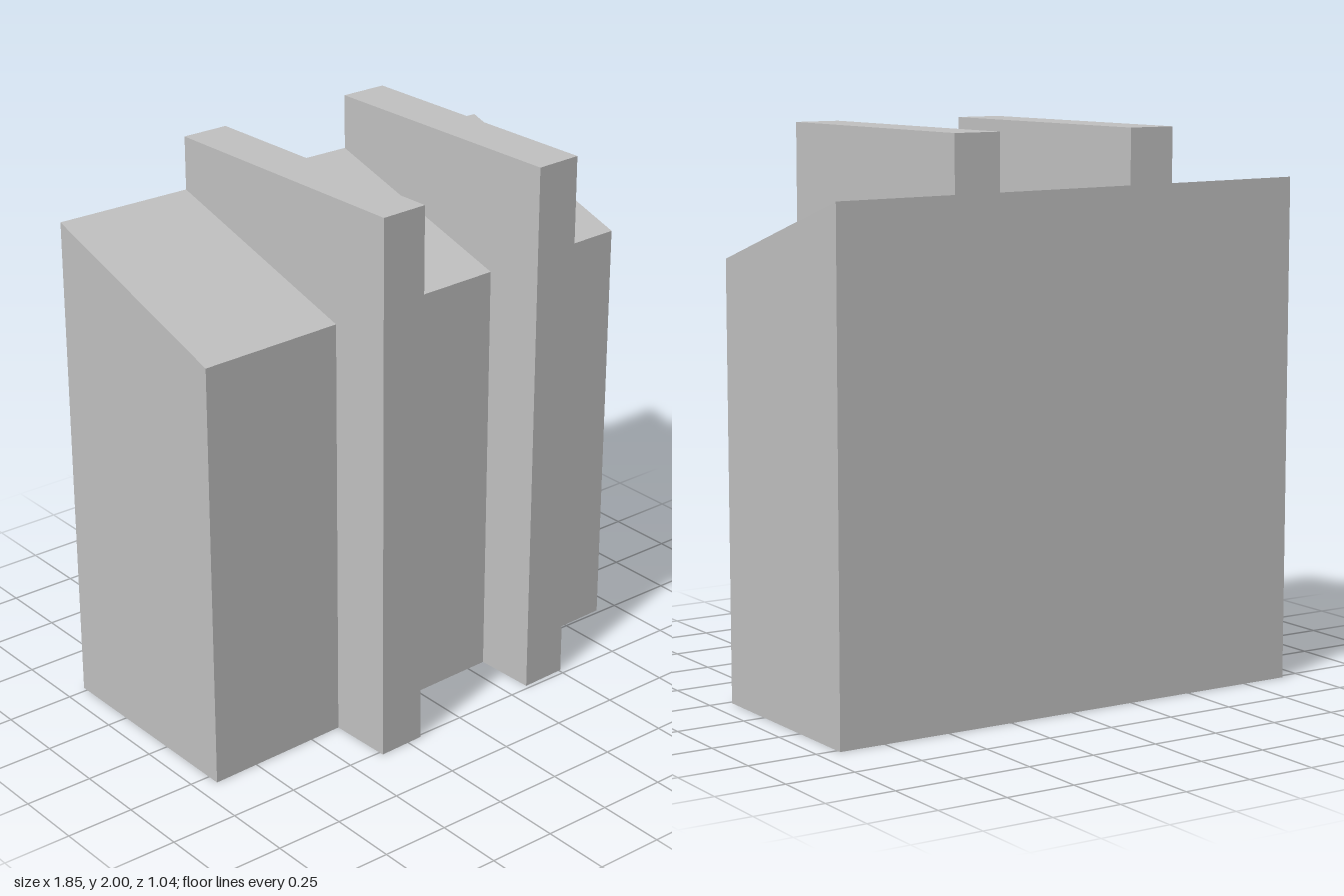
import * as THREE from 'three';

const BACK = -0.52;
const EAVE = 1.555;
const TOP = 2;

const frontZ = (x) => 0.266 - 0.0335 * x;   // slightly skewed front wall
const ridgeY = (x) => 1.803 - 0.008 * x;    // top edge of the roof at the back

// Upright prism on four [x, z, topY] corners: front left, front right, back right, back left.
// walls lists which sides are closed: 0 front, 1 right-hand, 2 back, 3 left-hand.
function prism(corners, walls) {
  const lo = corners.map(([x, z]) => [x, 0, z]);
  const hi = corners.map(([x, z, y]) => [x, y, z]);
  const pos = [];
  const quad = (a, b, c, d) => pos.push(...a, ...b, ...c, ...a, ...c, ...d);
  quad(...hi);
  quad(lo[3], lo[2], lo[1], lo[0]);
  for (const i of walls) {
    const j = (i + 1) % 4;
    quad(lo[i], lo[j], hi[j], hi[i]);
  }
  const geo = new THREE.BufferGeometry();
  geo.setAttribute('position', new THREE.Float32BufferAttribute(pos, 3));
  geo.computeVertexNormals();
  return geo;
}

export function createModel() {
  const model = new THREE.Group();
  model.name = 'finnedBlock';
  const grey = new THREE.MeshStandardMaterial({ color: 0xc0c0c0 });
  grey.name = 'plain grey';

  const add = (name, geo) => {
    const mesh = new THREE.Mesh(geo, grey);
    mesh.name = name;
    model.add(mesh);
  };

  // Fins: x of both sides at the back, then [x, z] of both front corners
  const fins = [
    { back: [-0.405, -0.23], front: [[-0.369, 0.517], [-0.193, 0.511]] },
    { back: [0.3, 0.475], front: [[0.333, 0.485], [0.507, 0.479]] },
  ];
  for (const { back, front } of fins) {
    add('fin', prism([
      [...front[0], TOP], [...front[1], TOP], [back[1], BACK, TOP], [back[0], BACK, TOP],
    ], [0, 1, 2, 3]));
  }

  // Where a fin side meets the front wall
  const wallX = (fin, side) => {
    const [x1, z1] = fin.front[side];
    const x0 = fin.back[side];
    return x0 + (x1 - x0) * (frontZ(x1) - BACK) / (z1 - BACK);
  };

  // Sloped bays between the fins, open where they meet a fin
  const edges = [
    { back: -0.924, front: -0.924 },
    ...fins.flatMap((f) => [0, 1].map((s) => ({ back: f.back[s], front: wallX(f, s) }))),
    { back: 0.921, front: 0.921 },
  ];
  for (let i = 0; i < edges.length; i += 2) {
    const [l, r] = [edges[i], edges[i + 1]];
    const walls = [0, 2];
    if (i === 0) walls.push(3);
    if (i === edges.length - 2) walls.push(1);
    add('slopedBay', prism([
      [l.front, frontZ(l.front), EAVE], [r.front, frontZ(r.front), EAVE],
      [r.back, BACK, ridgeY(r.back)], [l.back, BACK, ridgeY(l.back)],
    ], walls));
  }
  return model;
}
